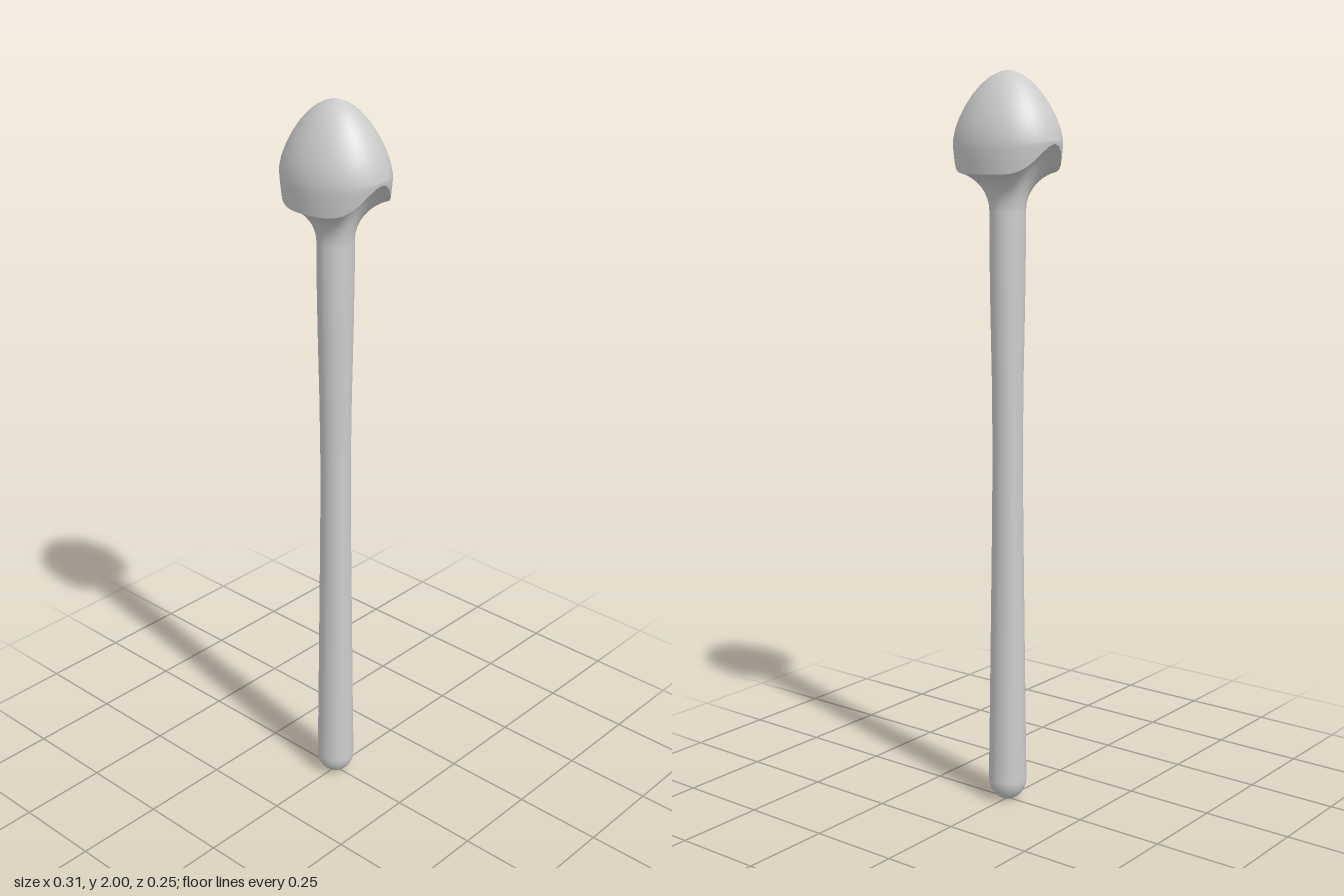
import * as THREE from 'three';

const SIDES = 40;
const lerp = THREE.MathUtils.lerp;

// Skins a list of rings; each ring is a function of angle giving [x, y, z]. Rings run bottom to top.
function loft(name, rings, material) {
  const pos = [], index = [];
  for (const ring of rings) {
    for (let i = 0; i < SIDES; i++) pos.push(...ring((i / SIDES) * Math.PI * 2));
  }
  for (let r = 0; r < rings.length - 1; r++) {
    for (let i = 0; i < SIDES; i++) {
      const a = r * SIDES + i, b = r * SIDES + ((i + 1) % SIDES);
      index.push(a, a + SIDES, b, b, a + SIDES, b + SIDES);
    }
  }
  const geo = new THREE.BufferGeometry();
  geo.setAttribute('position', new THREE.Float32BufferAttribute(pos, 3));
  geo.setIndex(index);
  geo.computeVertexNormals();
  const mesh = new THREE.Mesh(geo, material);
  mesh.name = name;
  return mesh;
}

const ellipse = (y, rx, rz) => (t) => [rx * Math.cos(t), y, rz * Math.sin(t)];

// Lower rim of the head: low at front and back, rising to both sides
const RX = 0.154, RZ = 0.125, WIDEST = 1.82;
function rim(t) {
  const lift = Math.cos(t) ** 6;
  const f = lerp(0.95, 0.995, lift);
  return [RX * f * Math.cos(t), lerp(1.735, 1.812, lift), RZ * f * Math.sin(t)];
}

export function createModel() {
  const group = new THREE.Group();
  group.name = 'stirrer';
  const material = new THREE.MeshStandardMaterial({ color: 0xcccccc });

  // Domed head: from the rim out to the widest ring, then closing to a blunt tip
  const dome = [[1.85, 0.955], [1.88, 0.875], [1.91, 0.765], [1.94, 0.625],
    [1.965, 0.47], [1.98, 0.345], [1.99, 0.22], [1.997, 0.09], [2, 0.0005]];
  const side = [0, 0.25, 0.5, 0.75, 1].map((k) => (t) => {
    const [, y0] = rim(t);
    const f0 = lerp(0.95, 0.995, Math.cos(t) ** 6);
    const f = lerp(f0, 1, Math.sin((k * Math.PI) / 2));
    return [RX * f * Math.cos(t), lerp(y0, WIDEST, k), RZ * f * Math.sin(t)];
  });
  group.add(loft('head', [...side, ...dome.map(([y, f]) => ellipse(y, RX * f, RZ * f))], material));

  // Flared underside: neck curving out to the rim
  const neck = ellipse(1.64, 0.046, 0.052);
  const flare = [];
  for (let i = 0; i <= 8; i++) {
    const k = i / 8;
    flare.push((t) => {
      const a = neck(t), b = rim(t);
      const out = k ** 1.9, up = 1 - (1 - k) ** 1.35;
      return [lerp(a[0], b[0], out), lerp(a[1], b[1], up), lerp(a[2], b[2], out)];
    });
  }
  group.add(loft('underside', flare, material));

  // Handle: rounded end, slightly waisted shaft
  const shaft = [];
  for (let i = 0; i <= 8; i++) {
    const a = (i / 8) * Math.PI / 2;
    const r = Math.max(0.0003, 0.053 * Math.sin(a));
    shaft.push(ellipse(0.06 * (1 - Math.cos(a)), r, r));
  }
  for (const [y, rx, rz] of [[0.2, 0.051, 0.05], [0.5, 0.047, 0.046], [0.8, 0.043, 0.042],
    [1, 0.041, 0.041], [1.2, 0.042, 0.044], [1.4, 0.045, 0.049], [1.55, 0.046, 0.052], [1.64, 0.046, 0.052]]) {
    shaft.push(ellipse(y, rx, rz));
  }
  group.add(loft('handle', shaft, material));

  return group;
}
